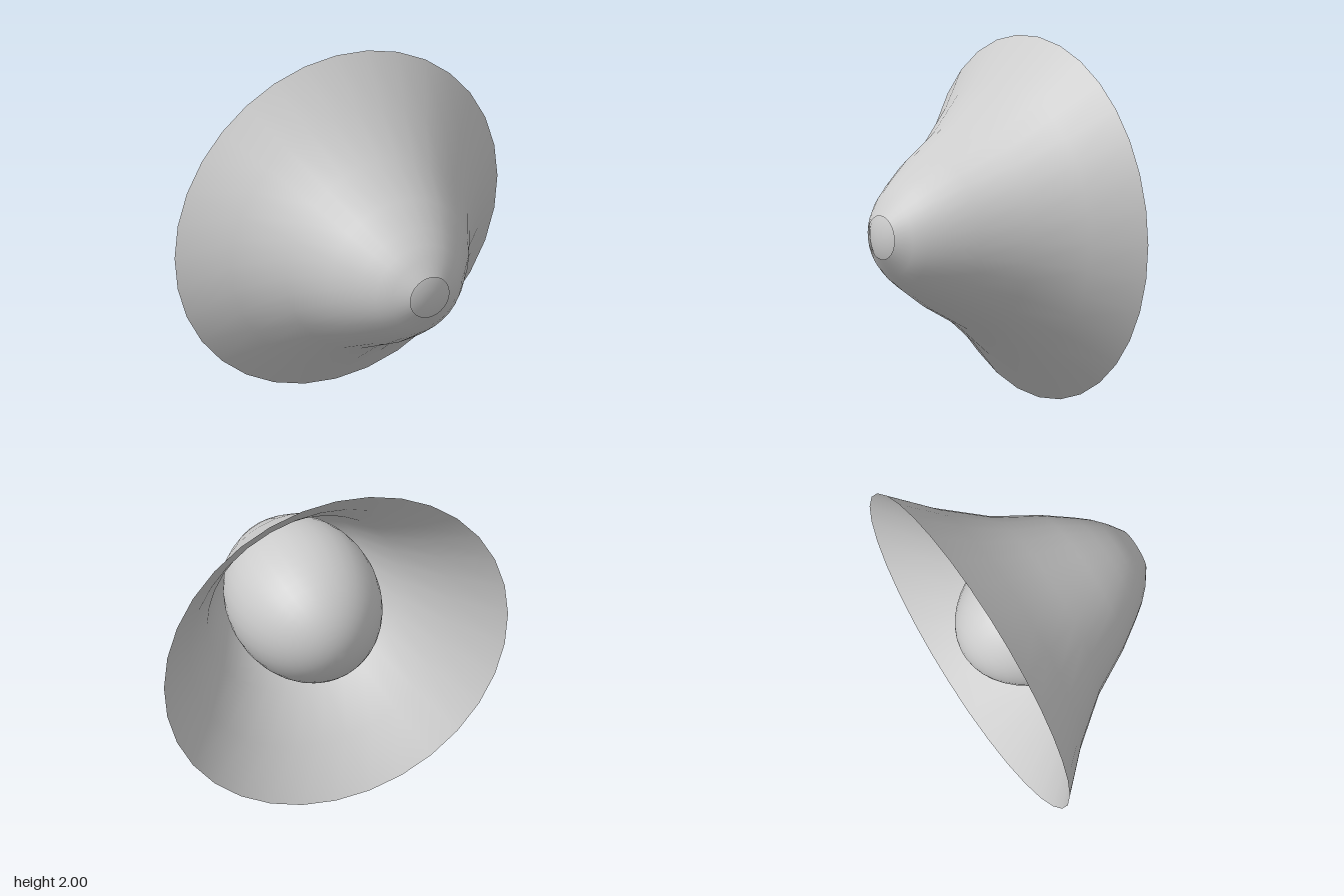
import * as THREE from 'three';

export function createModel() {
  const model = new THREE.Group();
  const material = new THREE.MeshStandardMaterial({ color: 0xcccccc, side: THREE.DoubleSide });

  // Flared open shade: [radius, z] from the wide back rim to the narrow front opening
  const profile = [
    [1, -0.517], [0.772, -0.29], [0.57, -0.04], [0.435, 0.2],
    [0.33, 0.35], [0.268, 0.43], [0.207, 0.49], [0.12, 0.552],
  ].map(([r, z]) => new THREE.Vector2(r, z));
  const shadeGeometry = new THREE.LatheGeometry(profile, 32);
  shadeGeometry.rotateX(Math.PI / 2);

  // The front opening sits a touch above the axis
  const position = shadeGeometry.attributes.position;
  for (let i = 0; i < position.count; i++) {
    if (position.getZ(i) > 0.54) position.setY(i, position.getY(i) + 0.011);
  }
  const shade = new THREE.Mesh(shadeGeometry, material);
  shade.name = 'shade';
  shade.position.y = 1;
  model.add(shade);

  // Elongated core nested in the shade, showing at the front opening and past the rim
  const coreGeometry = new THREE.SphereGeometry(1, 32, 24);
  coreGeometry.rotateX(Math.PI / 2);
  coreGeometry.scale(0.416, 0.416, 0.552);
  const core = new THREE.Mesh(coreGeometry, material);
  core.name = 'core';
  core.position.y = 1.003;
  model.add(core);

  return model;
}
